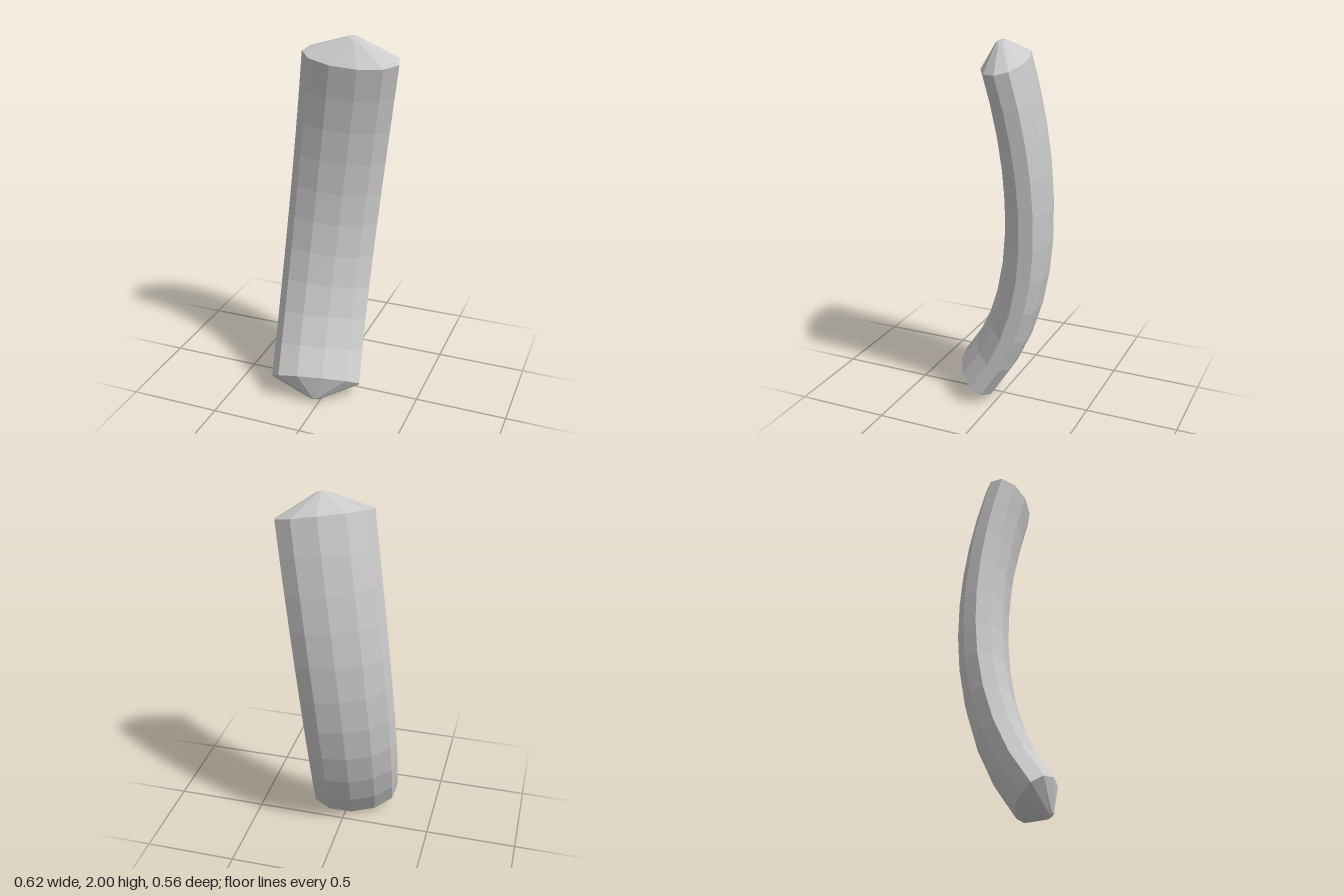
import * as THREE from 'three';

const SIDES = 11, STEPS = 10;
const HALF_WIDTH = 0.249, HALF_DEPTH = 0.13;
const CAP_HEIGHT = 0.105, TIP_RADIUS = 0.024;

// Elliptical ring of points around a centre, square to the tangent
function ring(center, tangent, width, depth) {
  const a = new THREE.Vector3(-0.95, 0.08, 0.29);
  a.addScaledVector(tangent, -a.dot(tangent)).normalize();
  const b = new THREE.Vector3().crossVectors(tangent, a);
  return Array.from({ length: SIDES }, (_, i) => {
    const t = (i / SIDES) * Math.PI * 2;
    return center.clone()
      .addScaledVector(a, width * Math.cos(t))
      .addScaledVector(b, depth * Math.sin(t));
  });
}

// Skin a list of rings, ordered from bottom to top
function loft(name, rings, material) {
  const index = [];
  for (let i = 0; i < rings.length - 1; i++) {
    for (let j = 0; j < SIDES; j++) {
      const k = (j + 1) % SIDES;
      const a = i * SIDES + j, b = i * SIDES + k;
      index.push(a, b, b + SIDES, a, b + SIDES, a + SIDES);
    }
  }
  const geometry = new THREE.BufferGeometry().setFromPoints(rings.flat());
  geometry.setIndex(index);
  geometry.computeVertexNormals();
  const mesh = new THREE.Mesh(geometry, material);
  mesh.name = name;
  return mesh;
}

export function createModel() {
  const group = new THREE.Group();
  group.name = 'curvedBar';
  const material = new THREE.MeshStandardMaterial({ color: 0xcccccc, flatShading: true });

  // Centre line, bending more sharply near the bottom
  const start = new THREE.Vector3(-0.038, 0.103, 0.157);
  const end = new THREE.Vector3(0.08, 1.895, -0.053);
  const startDir = new THREE.Vector3(-0.133, 0.784, -0.606).normalize();
  const endDir = new THREE.Vector3(0.17, 0.96, 0.22).normalize();
  const path = new THREE.CubicBezierCurve3(
    start, start.clone().addScaledVector(startDir, 0.6),
    end.clone().addScaledVector(endDir, -0.6), end);

  // Flattened body
  const rings = [];
  for (let i = 0; i <= STEPS; i++) {
    const u = i / STEPS;
    rings.push(ring(path.getPointAt(u), path.getTangentAt(u), HALF_WIDTH, HALF_DEPTH));
  }
  group.add(loft('body', rings, material));

  // Conical ends with small flat tips
  const tip = (center, dir, sign) => {
    const c = center.clone().addScaledVector(dir, sign * CAP_HEIGHT);
    return [ring(c, dir, TIP_RADIUS, TIP_RADIUS), ring(c, dir, 0, 0)];
  };
  group.add(loft('topCap', [rings[STEPS], ...tip(end, endDir, 1)], material));
  group.add(loft('bottomCap', [...tip(start, startDir, -1).reverse(), rings[0]], material));

  return group;
}
